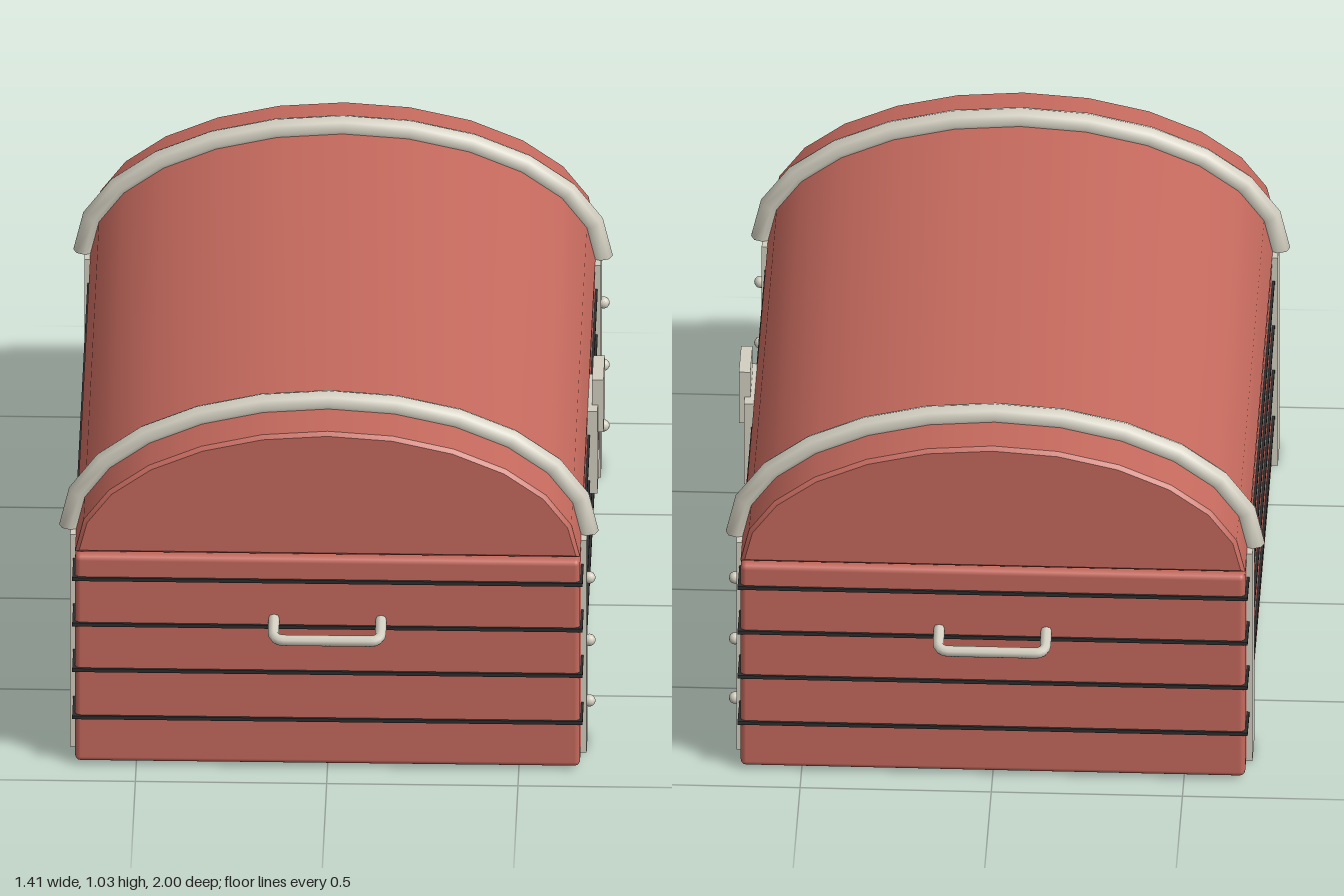
import * as THREE from 'three';
import { toCreasedNormals } from 'three/addons/utils/BufferGeometryUtils.js';
import { RoundedBoxGeometry } from 'three/addons/geometries/RoundedBoxGeometry.js';

const material = (name, color) => {
  const m = new THREE.MeshStandardMaterial({ color });
  m.name = name;
  return m;
};

export function createModel() {
  const red = material('red wood', 0xc4695d);
  const metal = material('pale metal', 0xd2cec0);
  const dark = material('dark grooves', 0x2c2c2c);
  const chest = new THREE.Group();
  chest.name = 'chest';

  const add = (name, geometry, mat, x = 0, y = 0, z = 0, parent = chest) => {
    const mesh = new THREE.Mesh(geometry, mat);
    mesh.name = name;
    mesh.position.set(x, y, z);
    parent.add(mesh);
    return mesh;
  };
  const box = (w, h, d) => new THREE.BoxGeometry(w, h, d);

  // Body with thin dark grooves between the planks
  add('body', new RoundedBoxGeometry(1.32, 0.612, 1.83, 2, 0.015), red, 0, 0.316, 0);
  for (const y of [0.145, 0.285, 0.42, 0.555]) {
    add('plankGroove', box(1.334, 0.01, 1.842), dark, 0, y, 0);
  }

  // Domed lid: half ellipse with a small bevel
  const lidBase = 0.63, bevel = 0.01, lidLength = 1.83;
  const dome = new THREE.Shape();
  for (let i = 0; i <= 12; i++) {
    const a = (i / 12) * Math.PI;
    const x = 0.66 * Math.cos(a), y = lidBase + 0.365 * Math.sin(a);
    if (i === 0) dome.moveTo(x, y);
    else dome.lineTo(x, y);
  }
  dome.closePath();
  const lid = new THREE.ExtrudeGeometry(dome, {
    depth: lidLength - 2 * bevel, bevelEnabled: true, bevelSegments: 1,
    bevelSize: bevel, bevelThickness: bevel, bevelOffset: -bevel,
  });
  lid.translate(0, 0, -lidLength / 2 + bevel);
  add('lid', toCreasedNormals(lid, 0.6), red);

  // Lips that fill the seam between body and lid
  for (const x of [-0.595, 0.595]) add('lidLip', box(0.04, 0.03, 1.74), red, x, 0.626, 0);

  // Arch curve stepped by angle
  class Arch extends THREE.Curve {
    getPoint(t, target = new THREE.Vector3()) {
      const a = t * Math.PI;
      return target.set(0.675 * Math.cos(a), lidBase + 0.375 * Math.sin(a), 0);
    }
    getPointAt(t, target) { return this.getPoint(t, target); }
    getTangentAt(t, target) { return this.getTangent(t, target); }
  }
  const archGeometry = new THREE.TubeGeometry(new Arch(), 12, 0.03, 8, false);
  const capGeometry = new THREE.CircleGeometry(0.03, 8).rotateX(Math.PI / 2);

  // Metal bands: arch over the lid, straps down the sides and under the base
  for (const z of [-0.757, 0.757]) {
    const band = new THREE.Group();
    band.name = 'band';
    band.position.z = z;
    chest.add(band);
    add('lidArch', archGeometry, metal, 0, 0, 0, band);
    add('baseStrap', box(1.35, 0.015, 0.112), metal, 0, 0.0075, 0, band);
    for (const s of [-1, 1]) {
      add('archEnd', capGeometry, metal, s * 0.675, lidBase, 0, band);
      add('sideStrap', box(0.02, 0.63, 0.112), metal, s * 0.665, 0.315, 0, band);
    }
    for (const y of [0.125, 0.305, 0.49]) {
      add('rivet', new THREE.SphereGeometry(0.016, 12, 8), metal, 0.681, y, 0, band);
    }
  }

  // Lock plate, hasp and keyhole on the long side
  add('lockPlate', box(0.03, 0.243, 0.206), metal, 0.671, 0.508, 0);
  add('hasp', box(0.03, 0.154, 0.134), metal, 0.686, 0.627, 0);
  const keyhole = new THREE.Shape();
  keyhole.absarc(0, 0.511, 0.019, -1.2, Math.PI + 1.2, false);
  keyhole.lineTo(-0.008, 0.464);
  keyhole.lineTo(0.008, 0.464);
  const holeGeometry = new THREE.ExtrudeGeometry(keyhole, { depth: 0.004, bevelEnabled: false });
  add('keyhole', holeGeometry.rotateY(Math.PI / 2), dark, 0.684, 0, 0);

  // Drooping bar handle at each end
  const v = (x, y, z) => new THREE.Vector3(x, y, z);
  const near = v(0, 0.443, 0.912), far = v(0, 0.416, 0.985);
  const at = (x, t) => near.clone().lerp(far, t).setX(x);
  const path = new THREE.CurvePath();
  path.add(new THREE.LineCurve3(at(-0.14, 0), at(-0.14, 0.65)));
  path.add(new THREE.QuadraticBezierCurve3(at(-0.14, 0.65), at(-0.14, 1), at(-0.112, 1)));
  path.add(new THREE.LineCurve3(at(-0.112, 1), at(0.112, 1)));
  path.add(new THREE.QuadraticBezierCurve3(at(0.112, 1), at(0.14, 1), at(0.14, 0.65)));
  path.add(new THREE.LineCurve3(at(0.14, 0.65), at(0.14, 0)));
  const handleGeometry = new THREE.TubeGeometry(path, 40, 0.0145, 8, false);
  for (const turn of [0, Math.PI]) {
    add('handle', handleGeometry, metal).rotation.y = turn;
  }
  return chest;
}
